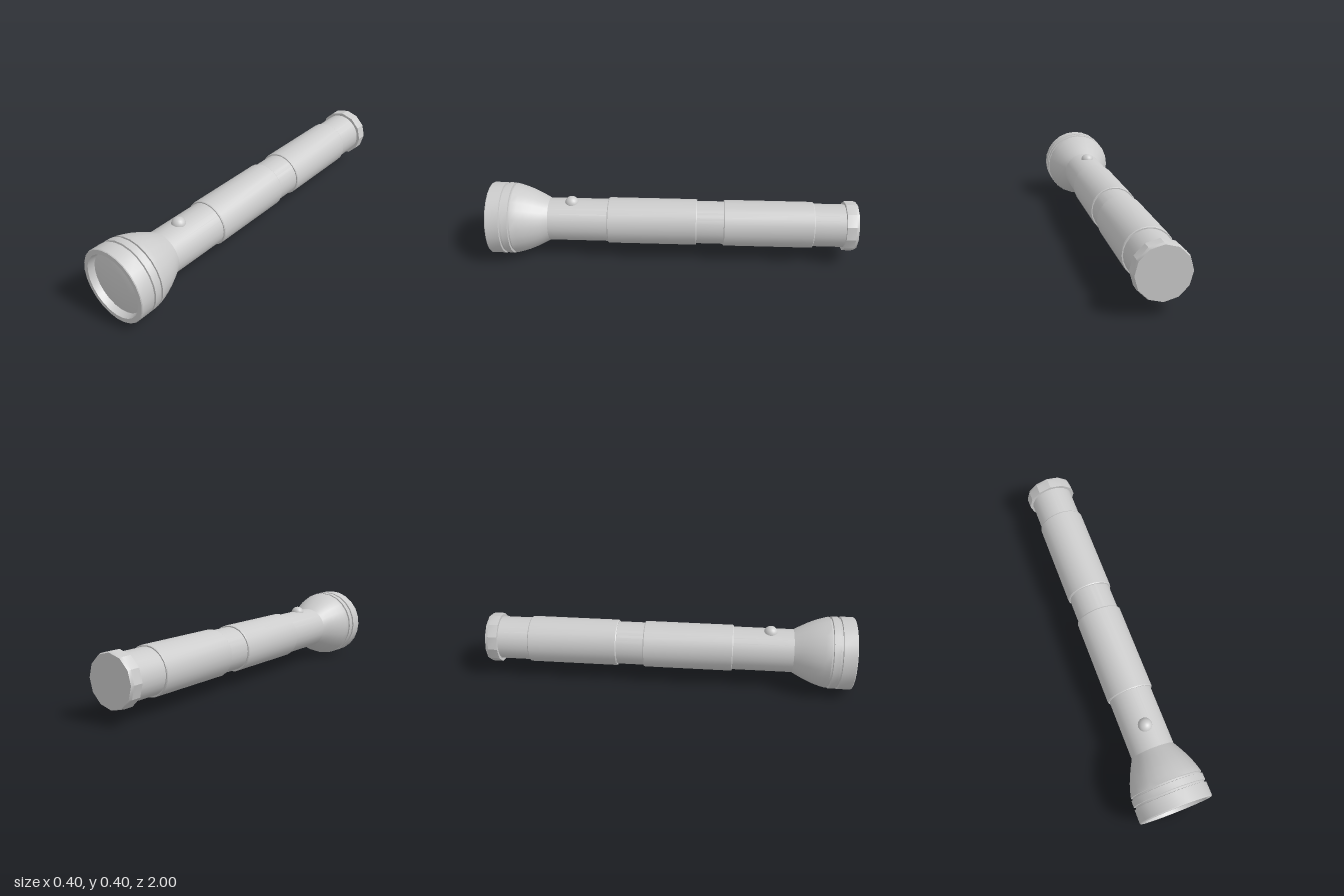
import * as THREE from 'three';
import { toCreasedNormals } from 'three/addons/utils/BufferGeometryUtils.js';

const AXIS_Y = 0.2;

// Turned part around the long axis; profile is [radius, z] from back to front
function turned(name, profile, sides, material, crease = 0.5) {
  const points = profile.map(([r, z]) => new THREE.Vector2(r, z));
  const geometry = new THREE.LatheGeometry(points, sides);
  geometry.rotateX(Math.PI / 2);
  const mesh = new THREE.Mesh(toCreasedNormals(geometry, crease), material);
  mesh.name = name;
  mesh.position.y = AXIS_Y;
  return mesh;
}

export function createModel() {
  const model = new THREE.Group();
  model.name = 'flashlight';
  const grey = new THREE.MeshStandardMaterial({ color: 0xcccccc });

  // Bell-shaped head, two grooves, front bezel and recessed rim
  model.add(turned('head', [
    [0.118, 0.68], [0.137, 0.715], [0.157, 0.755], [0.174, 0.795],
    [0.187, 0.835], [0.195, 0.866],
    [0.186, 0.867], [0.186, 0.876], [0.197, 0.878],
    [0.197, 0.912], [0.188, 0.914], [0.188, 0.924], [0.198, 0.926],
    [0.198, 0.996], [0.195, 1], [0.171, 1], [0.163, 0.965],
  ], 24, grey));

  // Slightly domed lens
  model.add(turned('lens', [
    [0.164, 0.965], [0.125, 0.974], [0.085, 0.98], [0.045, 0.984], [0, 0.985],
  ], 24, grey));

  // Long battery tube
  model.add(turned('barrel', [[0.118, -0.94], [0.118, 0.69]], 24, grey));

  // Two raised grip sleeves with small bevels
  for (const [name, back, front] of [['frontGrip', -0.132, 0.355], ['rearGrip', -0.767, -0.278]]) {
    model.add(turned(name, [
      [0.117, back], [0.124, back], [0.127, back + 0.005],
      [0.127, front - 0.005], [0.124, front], [0.117, front],
    ], 24, grey));
  }

  // Faceted tail cap
  model.add(turned('tailCap', [
    [0, -1], [0.131, -1], [0.136, -0.985], [0.136, -0.935], [0.116, -0.935],
  ], 12, grey));

  // Round push button
  const button = new THREE.Mesh(new THREE.SphereGeometry(0.038, 20, 14), grey);
  button.name = 'button';
  button.position.set(0, 0.308, 0.555);
  model.add(button);

  return model;
}
